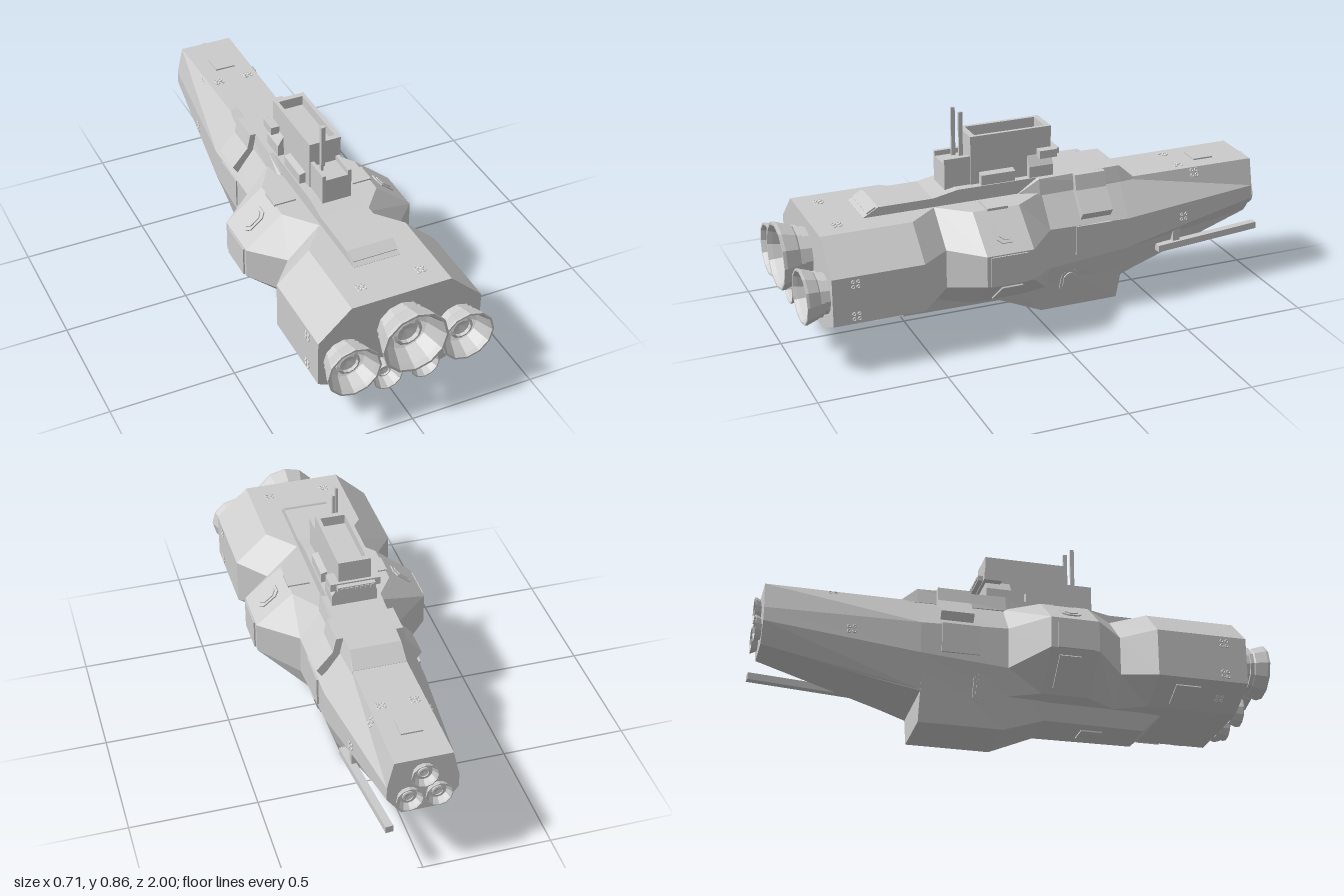
import * as THREE from 'three';

const grey = new THREE.MeshStandardMaterial({ color: 0xcccccc, flatShading: true });
const open = new THREE.MeshStandardMaterial({ color: 0xcccccc, flatShading: true, side: THREE.DoubleSide });

function add(parent, name, geo, x = 0, y = 0, z = 0, mat = grey) {
  const m = new THREE.Mesh(geo, mat);
  m.name = name;
  m.position.set(x, y, z);
  parent.add(m);
  return m;
}

// Box given by its limits on each axis
function block(parent, name, x0, x1, y0, y1, z0, z1) {
  return add(parent, name, new THREE.BoxGeometry(x1 - x0, y1 - y0, z1 - z0),
    (x0 + x1) / 2, (y0 + y1) / 2, (z0 + z1) / 2);
}

// Skin over mirrored cross-sections, listed from +z to -z: [z, [x, y] from top to bottom]
function loft(sections) {
  const loops = sections.map(([z, ...half]) => [
    ...half.map(([x, y]) => [x, y, z]),
    ...half.map(([x, y]) => [-x, y, z]).reverse()]);
  const n = loops[0].length, pos = [];
  const tri = (...p) => p.forEach(q => pos.push(...q));
  for (let i = 0; i < loops.length - 1; i++) {
    for (let j = 0; j < n; j++) {
      const k = (j + 1) % n, A = loops[i], B = loops[i + 1];
      tri(A[j], A[k], B[k]);
      tri(A[j], B[k], B[j]);
    }
  }
  const F = loops[0], L = loops[loops.length - 1];
  for (let j = 1; j < n - 1; j++) {
    tri(F[0], F[j + 1], F[j]);
    tri(L[0], L[j], L[j + 1]);
  }
  const g = new THREE.BufferGeometry();
  g.setAttribute('position', new THREE.Float32BufferAttribute(pos, 3));
  g.computeVertexNormals();
  return g;
}

// Rectangle outline with cut corners
function cutRect(w, h, c, Type = THREE.Shape) {
  const a = w / 2, b = h / 2;
  return new Type([[-a + c, -b], [a - c, -b], [a, -b + c], [a, b - c], [a - c, b], [-a + c, b], [-a, b - c], [-a, -b + c]]
    .map(p => new THREE.Vector2(...p)));
}

function aim(obj, n) {
  obj.lookAt(obj.position.clone().add(new THREE.Vector3(...n)));
  return obj;
}

// Raised panel lying on the hull, with a smaller plate on top
function plate(parent, name, w, h, cut, p, n) {
  const g = new THREE.Group();
  g.name = name;
  g.position.set(...p);
  const slab = (s, d) => new THREE.ExtrudeGeometry(cutRect(w - s, h - s, cut), { depth: d, bevelEnabled: false });
  add(g, name + 'Frame', slab(0, 0.012), 0, 0, -0.006);
  if (cut > 0.01) add(g, name + 'Cover', slab(0.022, 0.016), 0, 0, -0.006);
  parent.add(aim(g, n));
}

// Four small thruster rings in a square
function thrusters(parent, p, n) {
  const g = new THREE.Group();
  g.name = 'thrusterCluster';
  g.position.set(...p);
  for (const x of [-0.01, 0.01]) for (const y of [-0.01, 0.01])
    add(g, 'thrusterRing', new THREE.TorusGeometry(0.006, 0.003, 4, 8), x, y, 0.001);
  parent.add(aim(g, n));
}

// Engine bell opening towards +z, with an inner nozzle
function engine(parent, name, r, len, x, y, z, dir = 1) {
  const g = new THREE.Group();
  g.name = name;
  const bell = [[0.74, -0.3], [0.74, 0.25], [0.82, 0.25], [0.82, 0.4], [0.86, 0.45], [1, 0.9], [1, 1],
    [0.93, 1], [0.86, 0.85], [0.66, 0.3], [0.5, 0.12], [0, 0.12]];
  const nozzle = [[0.44, 0.1], [0.44, 0.45], [0.34, 0.5], [0.34, 0.35], [0, 0.3]];
  for (const [part, pts] of [['Bell', bell], ['Nozzle', nozzle]]) {
    const geo = new THREE.LatheGeometry(pts.map(([a, b]) => new THREE.Vector2(a * r, b * len)), 12);
    add(g, name + part, geo.rotateX(Math.PI / 2), 0, 0, 0, open);
  }
  g.position.set(x, y, z);
  if (dir < 0) g.rotation.y = Math.PI;
  parent.add(g);
}

export function createModel() {
  const ship = new THREE.Group();
  ship.name = 'spaceship';

  // Main hull: stern block, waist, bulged middle and tapering bow
  add(ship, 'hull', loft([
    [0.88, [0.2, 0.51], [0.33, 0.39], [0.33, 0.2], [0.18, 0.13]],
    [0.52, [0.2, 0.51], [0.33, 0.39], [0.33, 0.2], [0.18, 0.13]],
    [0.4, [0.1, 0.51], [0.23, 0.385], [0.23, 0.23], [0.12, 0.13]],
    [0.28, [0.2, 0.51], [0.35, 0.385], [0.35, 0.26], [0.2, 0.13]],
    [0.09, [0.2, 0.51], [0.35, 0.385], [0.35, 0.26], [0.2, 0.13]],
    [-0.04, [0.11, 0.51], [0.205, 0.385], [0.205, 0.22], [0.16, 0.12]],
    [-0.38, [0.105, 0.51], [0.2, 0.375], [0.2, 0.25], [0.155, 0.12]],
    [-0.97, [0.11, 0.51], [0.135, 0.4], [0.135, 0.345], [0.08, 0.27]],
  ]));

  // Keel below the hull, deepest amidships
  add(ship, 'keel', loft([
    [0.6, [0.1, 0.15], [0.1, 0.13]],
    [0.53, [0.12, 0.15], [0.085, 0.065]],
    [0.13, [0.14, 0.17], [0.095, 0.065]],
    [-0.04, [0.2, 0.23], [0.12, 0]],
    [-0.37, [0.198, 0.25], [0.12, 0]],
  ]));
  add(ship, 'keelRamp', loft([
    [-0.36, [0.19, 0.26], [0.155, 0.11]],
    [-0.53, [0.16, 0.28], [0.125, 0.155]],
    [-0.96, [0.09, 0.3], [0.08, 0.27]],
  ]));

  // Raised decks along the spine
  add(ship, 'aftDeck', loft([
    [0.68, [0.095, 0.511], [0.095, 0.5]],
    [0.62, [0.095, 0.545], [0.095, 0.5]],
    [0.4, [0.095, 0.545], [0.095, 0.5]],
    [0.3, [0.095, 0.565], [0.095, 0.5]],
    [-0.05, [0.095, 0.565], [0.095, 0.5]],
  ]));
  add(ship, 'foreDeck', loft([
    [0.05, [0.1, 0.511], [0.11, 0.5]],
    [-0.03, [0.115, 0.565], [0.125, 0.5]],
    [-0.38, [0.1, 0.565], [0.115, 0.5]],
    [-0.44, [0.105, 0.511], [0.11, 0.5]],
  ]));

  // Command tower with an open bay on top
  const tower = new THREE.Group();
  tower.name = 'tower';
  ship.add(tower);
  block(tower, 'towerBody', -0.065, 0.065, 0.55, 0.72, -0.1, 0.235);
  block(tower, 'towerStep', -0.06, 0.06, 0.54, 0.66, 0.23, 0.34);
  block(tower, 'towerStepWallLeft', 0.045, 0.06, 0.65, 0.68, 0.23, 0.34);
  block(tower, 'towerStepWallRight', -0.06, -0.045, 0.65, 0.68, 0.23, 0.34);
  add(tower, 'towerFlank', loft([
    [0.2, [0.065, 0.612], [0.09, 0.605], [0.09, 0.55]],
    [0.06, [0.065, 0.612], [0.09, 0.605], [0.09, 0.55]],
  ]));
  add(tower, 'towerFoot', loft([
    [0.0, [0.065, 0.65], [0.09, 0.61], [0.09, 0.55]],
    [-0.1, [0.065, 0.65], [0.09, 0.61], [0.09, 0.55]],
  ]));
  const rim = cutRect(0.13, 0.335, 0);
  rim.holes.push(cutRect(0.1, 0.29, 0, THREE.Path));
  add(tower, 'bayRim', new THREE.ExtrudeGeometry(rim, { depth: 0.045, bevelEnabled: false })
    .rotateX(-Math.PI / 2), 0, 0.715, 0.0675);

  // Bridge gallery wrapped around the tower front
  block(tower, 'bridge', -0.1, 0.1, 0.642, 0.674, -0.112, -0.04);
  block(tower, 'bridgeFront', -0.075, 0.075, 0.646, 0.668, -0.132, -0.1);
  for (let i = -3; i <= 3; i++) block(tower, 'bridgeWindow', i * 0.02 - 0.006, i * 0.02 + 0.006, 0.652, 0.664, -0.136, -0.13);

  // Antennas
  block(tower, 'antennaTall', -0.036, -0.026, 0.65, 0.855, 0.262, 0.278);
  block(tower, 'antennaShort', -0.018, -0.008, 0.65, 0.838, 0.238, 0.254);

  // Stern engines and bow thrusters
  engine(ship, 'mainEngine', 0.132, 0.12, 0, 0.37, 0.88);
  engine(ship, 'topBowEngine', 0.052, 0.035, 0, 0.445, -0.96, -1);

  // Paired details
  for (const s of [-1, 1]) {
    engine(ship, 'sideEngine', 0.107, 0.095, s * 0.23, 0.297, 0.88);
    engine(ship, 'smallEngine', 0.06, 0.06, s * 0.076, 0.19, 0.88);
    engine(ship, 'lowerBowEngine', 0.052, 0.035, s * 0.055, 0.345, -0.96, -1);

    // Armour folded over the shoulder
    const pts = [[0.09, 0.5], [0.105, 0.565], [0.132, 0.565], [0.145, 0.505], [0.21, 0.43], [0.19, 0.4]]
      .map(([x, y]) => new THREE.Vector2(s * x, y));
    add(ship, 'shoulderArmour', new THREE.ExtrudeGeometry(new THREE.Shape(pts), { depth: 0.13, bevelEnabled: false }), 0, 0, -0.305);

    plate(ship, 'bowSidePanel', 0.15, 0.12, 0, [s * 0.203, 0.32, -0.225], [s, 0, 0]);
    plate(ship, 'middleSidePanel', 0.15, 0.12, 0, [s * 0.35, 0.32, 0.19], [s, 0, 0]);
    plate(ship, 'deckHatch', 0.09, 0.085, 0, [s * 0.16, 0.51, 0.18], [0, 1, 0]);
    plate(ship, 'shoulderHatch', 0.075, 0.1, 0.018, [s * 0.277, 0.445, 0.185], [s * 0.125, 0.15, 0]);
    plate(ship, 'lowerMiddlePanel', 0.085, 0.14, 0, [s * 0.275, 0.195, 0.17], [s * 0.13, -0.15, 0]);
    plate(ship, 'lowerSternPanel', 0.1, 0.1, 0, [s * 0.25, 0.163, 0.65], [s * 0.07, -0.15, 0]);
    plate(ship, 'keelHatch', 0.07, 0.11, 0.018, [s * 0.167, 0.14, -0.135], [s * 0.24, -0.08, 0]);

    thrusters(ship, [s * 0.12, 0.511, 0.79], [0, 1, 0]);
    thrusters(ship, [s * 0.331, 0.36, 0.79], [s, 0, 0]);
    thrusters(ship, [s * 0.331, 0.23, 0.79], [s, 0, 0]);
    thrusters(ship, [s * 0.25, 0.163, 0.79], [s * 0.07, -0.15, 0]);
    thrusters(ship, [s * 0.065, 0.511, -0.66], [0, 1, 0]);
    thrusters(ship, [s * 0.117, 0.49, -0.71], [s * 0.12, 0.05, 0]);
    thrusters(ship, [s * 0.172, 0.33, -0.64], [s, 0, -0.1]);
  }
  plate(ship, 'bowHatch', 0.085, 0.085, 0, [0, 0.51, -0.79], [0, 1, 0]);
  plate(ship, 'keelPanel', 0.08, 0.085, 0, [0, 0.065, 0.335], [0, -1, 0]);
  plate(ship, 'deckSlot', 0.18, 0.04, 0, [0, 0.531, 0.645], [0, 0.87, 0.5]);

  // Slender boom slung under one side of the bow
  const boom = add(ship, 'boom', new THREE.BoxGeometry(0.03, 0.028, 0.47), 0.15, 0.216, -0.76);
  aim(boom, [0.04, -0.012, 0.46]);
  block(ship, 'boomStrut', 0.12, 0.165, 0.2, 0.28, -0.63, -0.6);

  return ship;
}
